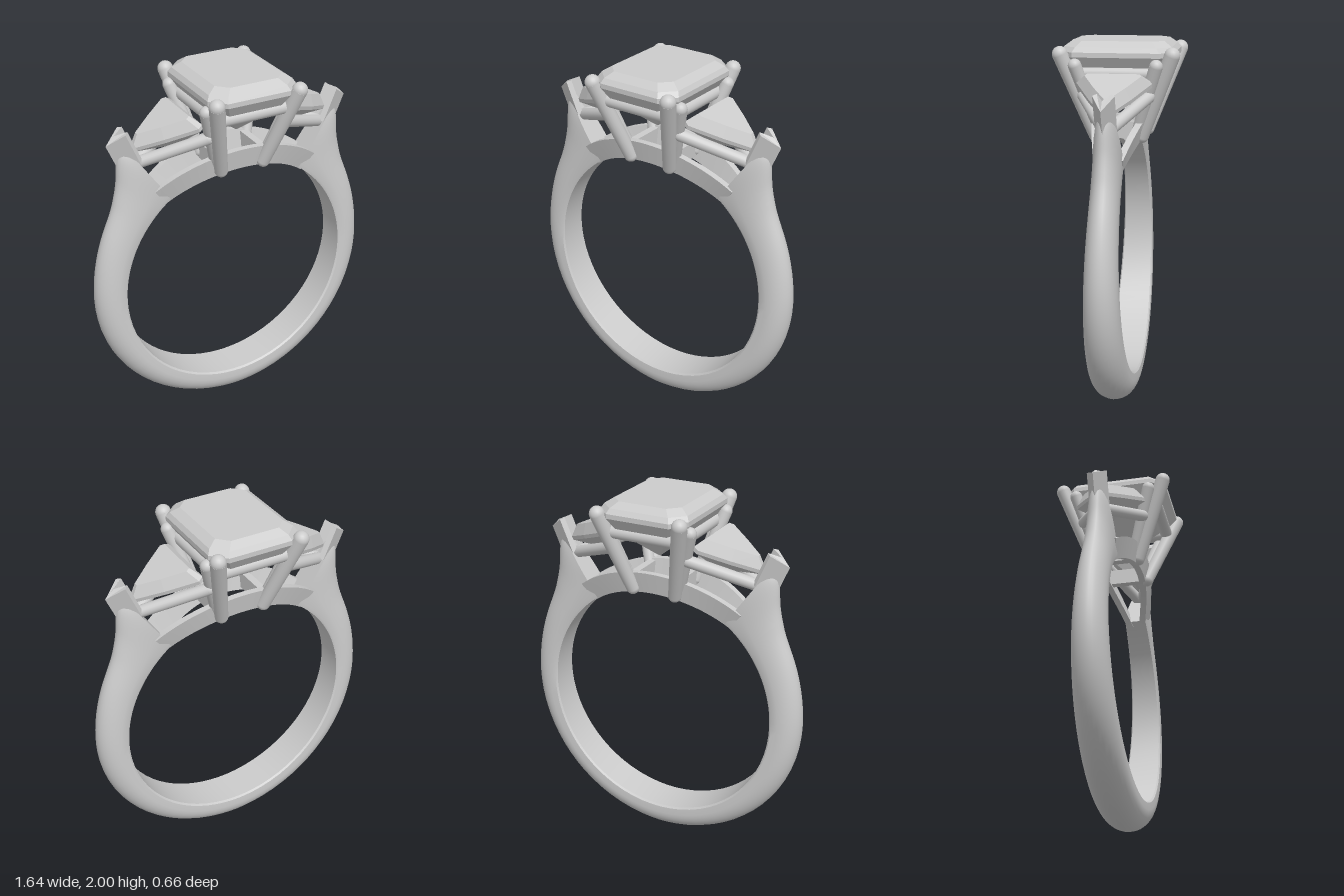
import * as THREE from 'three';
import { toCreasedNormals } from 'three/addons/utils/BufferGeometryUtils.js';

const smooth = new THREE.MeshStandardMaterial({ color: 0xcccccc });
const faceted = new THREE.MeshStandardMaterial({ color: 0xcccccc, flatShading: true });
const V = (x, y, z) => new THREE.Vector3(x, y, z);
const CENTRE_Y = 0.825, INNER_R = 0.665;

function add(parent, name, geometry, material = smooth) {
  const mesh = new THREE.Mesh(geometry, material);
  mesh.name = name;
  parent.add(mesh);
  return mesh;
}

// Skin through equal-sized convex rings, capped at both ends, always facing outwards.
function loft(rings) {
  const n = rings[0].length, pts = rings.flat(), index = [];
  for (let i = 0; i < rings.length - 1; i++) {
    for (let j = 0; j < n; j++) {
      const a = i * n + j, b = i * n + (j + 1) % n;
      index.push(a, b, b + n, a, b + n, a + n);
    }
  }
  const last = (rings.length - 1) * n;
  for (let j = 1; j < n - 1; j++) index.push(0, j + 1, j, last, last + j, last + j + 1);
  let volume = 0;
  for (let k = 0; k < index.length; k += 3) {
    volume += pts[index[k]].dot(V().crossVectors(pts[index[k + 1]], pts[index[k + 2]]));
  }
  if (volume < 0) index.reverse();
  const g = new THREE.BufferGeometry().setFromPoints(pts);
  g.setIndex(index);
  g.computeVertexNormals();
  return g;
}

// Round wire between two points, with ball ends.
function wire(parent, name, a, b, ra, rb = ra) {
  const group = new THREE.Group();
  group.name = name;
  const dir = b.clone().sub(a);
  const rod = add(group, 'rod', new THREE.CylinderGeometry(rb, ra, dir.length(), 20, 1));
  rod.position.copy(a).lerp(b, 0.5);
  rod.quaternion.setFromUnitVectors(V(0, 1, 0), dir.normalize());
  for (const [p, r] of [[a, ra], [b, rb]]) {
    add(group, 'roundEnd', new THREE.SphereGeometry(r, 20, 12)).position.copy(p);
  }
  parent.add(group);
}

// Band: D-shaped section swept around the finger, swelling into the shoulders.
function shank() {
  const half = new THREE.SplineCurve([
    [0, 0.825], [30, 0.82], [60, 0.818], [90, 0.82], [104, 0.826], [117, 0.843],
    [125, 0.862], [130.5, 0.893], [136, 0.948], [142, 1.045], [145, 1.062],
  ].map(([a, r]) => new THREE.Vector2(a, r))).getPoints(60);
  const path = [...half.slice(1).reverse().map(p => [-p.x, p.y]), ...half.map(p => [p.x, p.y])];
  const section = [[0, -0.9], [0, 0.9], [0.06, 0.98]];
  for (let i = 0; i <= 16; i++) {
    const a = Math.PI * i / 16;
    section.push([0.3 + 0.7 * Math.sin(a), Math.cos(a)]);
  }
  section.push([0.06, -0.98]);
  const rings = path.map(([deg, outer]) => {
    const a = THREE.MathUtils.degToRad(deg);
    const width = 0.112 - 0.03 * (CENTRE_Y - 0.8 * Math.cos(a));
    return section.map(([s, w]) => {
      const r = INNER_R + s * (outer - INNER_R);
      return V(r * Math.sin(a), CENTRE_Y - r * Math.cos(a), w * width);
    });
  });
  return toCreasedNormals(loft(rings), 0.6);
}

// Arched gallery rail that bows outwards towards the middle and leans out at its top.
function galleryRail(side) {
  const rings = [];
  for (let i = 0; i <= 32; i++) {
    const a = (-38 + 76 * i / 32) * Math.PI / 180;
    const bow = 0.035 + 0.07 * Math.cos(a * 90 / 38);
    rings.push([[0, -0.018], [0, 0.018], [1, 0.04], [1, 0.004]].map(([s, w]) => {
      const r = INNER_R - 0.005 + 0.115 * s;
      return V(r * Math.sin(a), CENTRE_Y + r * Math.cos(a), side * (bow + w));
    }));
  }
  return toCreasedNormals(loft(rings), 0.6);
}

// Step-cut stone: stacked rectangles with clipped corners.
function centreStone() {
  const steps = [[2, 0.19, 0.24], [1.97, 0.235, 0.28], [1.945, 0.25, 0.3], [1.92, 0.25, 0.3],
    [1.86, 0.21, 0.26], [1.8, 0.15, 0.2], [1.68, 0.006, 0.06]];
  return loft(steps.map(([y, x, z]) => {
    const c = 0.3 * x;
    return [[x, z - c], [x - c, z], [c - x, z], [-x, z - c],
      [-x, c - z], [c - x, -z], [x - c, -z], [x, c - z]].map(([px, pz]) => V(px, y, pz));
  }));
}

// Triangular stone: clipped triangle scaled about its middle at each height.
function sideStone() {
  const outline = [[0, -0.18], [0.03, -0.195], [0.19, -0.107], [0.335, -0.015],
    [0.335, 0.015], [0.19, 0.107], [0.03, 0.195], [0, 0.18]];
  const mid = 0.115;
  return loft([[0.075, 0.74], [0.02, 1], [0, 1], [-0.11, 0.04]].map(([v, s]) =>
    outline.map(([u, z]) => V(mid + (u - mid) * s, v, z * s))));
}

// Tilted setting for a side stone: stone, two seat rails and a V-shaped claw.
function sideSetting(name) {
  const group = new THREE.Group();
  group.name = name;
  const tilt = new THREE.Group();
  tilt.name = 'tiltedSetting';
  tilt.position.set(0.25, 1.79, 0);
  tilt.rotation.z = -0.4;
  group.add(tilt);
  add(tilt, 'sideStone', sideStone(), faceted);
  const v = new THREE.Shape([[0.445, 0], [0.34, 0.055], [0.32, 0.035], [0.385, 0],
    [0.32, -0.035], [0.34, -0.055]].map(([x, y]) => new THREE.Vector2(x, y)));
  const claw = new THREE.ExtrudeGeometry(v, { depth: 0.19, bevelEnabled: false });
  claw.rotateX(-Math.PI / 2).translate(0, -0.06, 0);
  // lower the outer corner of the claw top
  const p = claw.attributes.position;
  for (let i = 0; i < p.count; i++) {
    if (p.getY(i) > 0 && p.getX(i) > 0.42) p.setY(i, 0.105);
  }
  add(tilt, 'claw', claw, faceted);
  for (const s of [-1, 1]) {
    wire(tilt, 'sideSeatRail', V(0, -0.075, 0.17 * s), V(0.335, -0.07, 0.01 * s), 0.032);
    wire(group, 'smallProng', V(0.14, 1.52, 0.1 * s), V(0.25, 1.88, 0.21 * s), 0.03, 0.035);
  }
  // bar joining the two gallery rails under the prongs
  add(group, 'galleryCrossbar', new THREE.BoxGeometry(0.04, 0.09, 0.22)).position.set(0.13, 1.535, 0);
  return group;
}

export function createModel() {
  const ring = new THREE.Group();
  ring.name = 'ring';
  add(ring, 'shank', shank());
  add(ring, 'centreStone', centreStone(), faceted);

  for (const s of [-1, 1]) {
    add(ring, 'galleryRail', galleryRail(s));
    // seat rails below the centre stone
    wire(ring, 'seatRailLong', V(-0.2, 1.835, 0.235 * s), V(0.2, 1.835, 0.235 * s), 0.035);
    wire(ring, 'seatRailShort', V(0.2 * s, 1.835, -0.235), V(0.2 * s, 1.835, 0.235), 0.035);
    for (const t of [-1, 1]) {
      wire(ring, 'prong', V(0.125 * t, 1.5, 0.125 * s), V(0.232 * t, 1.935, 0.29 * s), 0.036, 0.041);
    }
  }

  const left = sideSetting('leftSetting');
  const right = sideSetting('rightSetting');
  right.rotation.y = Math.PI;
  ring.add(left, right);
  return ring;
}
